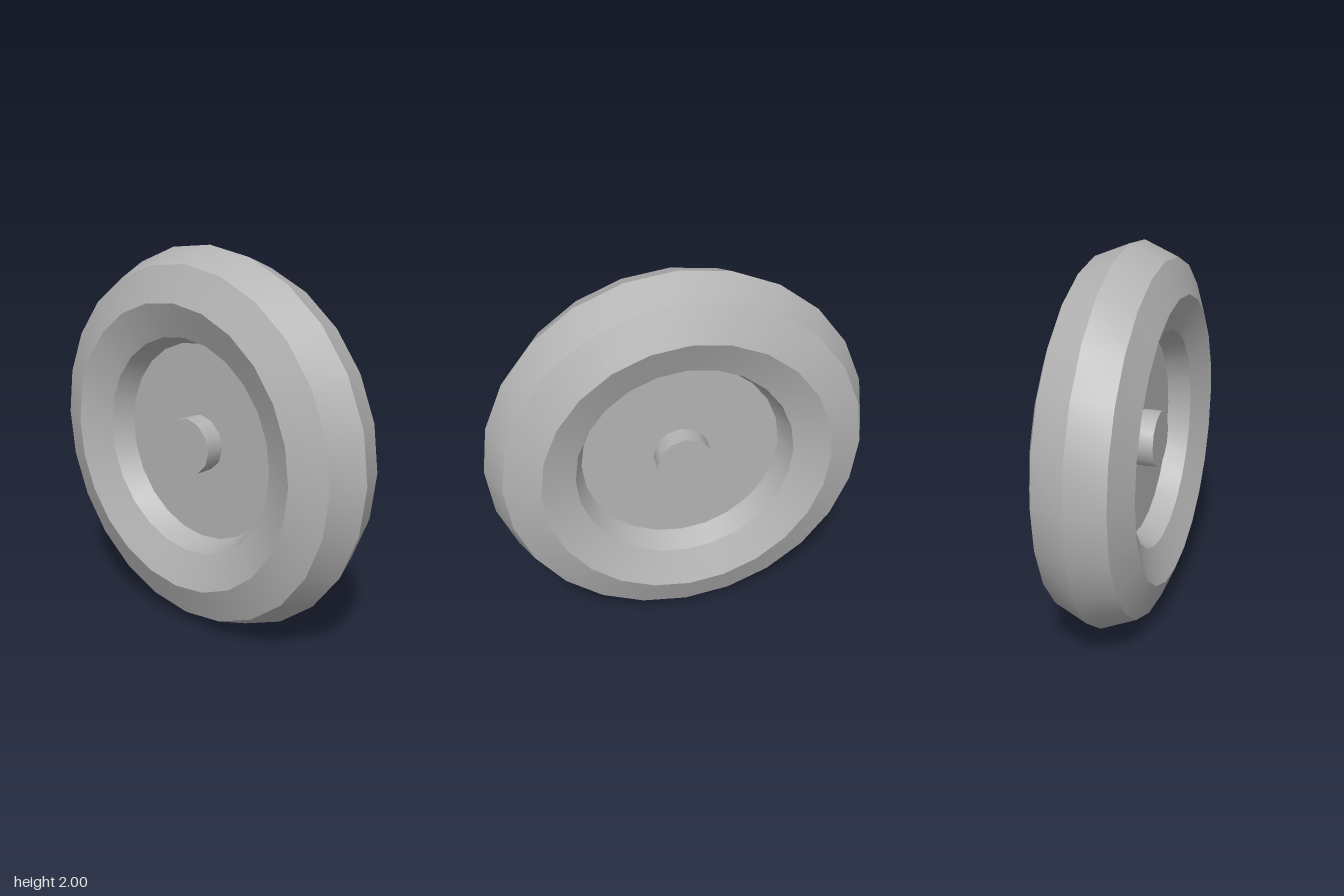
import * as THREE from 'three';
import { toCreasedNormals } from 'three/addons/utils/BufferGeometryUtils.js';

export function createModel() {
  const group = new THREE.Group();
  group.name = 'wheel';
  const grey = new THREE.MeshStandardMaterial({ color: 0xb3b3b3 });
  grey.name = 'grey';

  // Smooth around the axle, sharp between the bands of the profile
  const add = (name, geometry) => {
    const mesh = new THREE.Mesh(toCreasedNormals(geometry, 0.6), grey);
    mesh.name = name;
    mesh.position.y = 1;
    group.add(mesh);
  };

  // Tyre: octagonal section swept round the x axis
  add('tyre', new THREE.TorusGeometry(0.745, 0.255, 8, 24).rotateY(Math.PI / 2));

  // Solid wheel disc, its rim buried in the tyre
  add('disc', new THREE.CylinderGeometry(0.56, 0.56, 0.13, 24).rotateZ(Math.PI / 2));

  // Axle hub standing out on both sides
  add('hub', new THREE.CylinderGeometry(0.147, 0.147, 0.33, 12).rotateZ(Math.PI / 2));

  return group;
}
